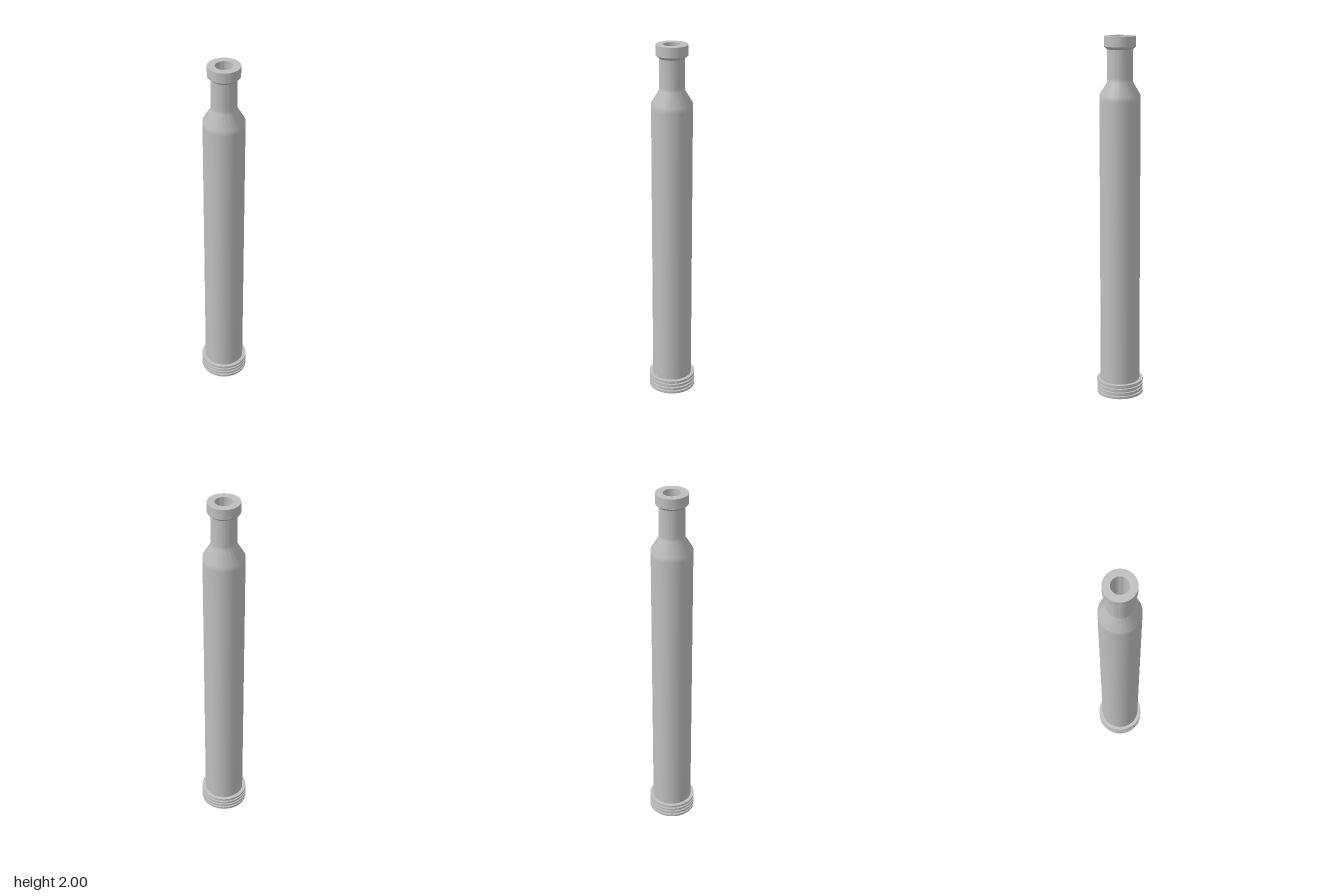
import * as THREE from 'three';
import { toCreasedNormals } from 'three/addons/utils/BufferGeometryUtils.js';

const steel = new THREE.MeshStandardMaterial({ color: 0xbfbfbf });
steel.name = 'grey steel';

// Turned part from [radius, height] pairs, with crisp machined edges
function turned(name, profile) {
  const points = profile.map(([r, y]) => new THREE.Vector2(r, y));
  const mesh = new THREE.Mesh(toCreasedNormals(new THREE.LatheGeometry(points, 64), 0.6), steel);
  mesh.name = name;
  return mesh;
}

export function createModel() {
  const group = new THREE.Group();
  group.name = 'turnedRod';

  // Foot flange: four thin rings separated by three shallow grooves
  const foot = [[0, 0], [0.13, 0]];
  for (const y of [0.013, 0.035, 0.057]) {
    foot.push([0.13, y], [0.118, y], [0.118, y + 0.01], [0.13, y + 0.01]);
  }
  foot.push([0.13, 0.08], [0.108, 0.08]);
  group.add(turned('groovedFoot', foot));

  // Long body, tapered shoulder and slim neck
  group.add(turned('body', [
    [0.11, 0.08], [0.11, 1.66], [0.11, 1.69],
    [0.068, 1.76], [0.068, 1.78], [0.068, 1.93],
  ]));

  // Chamfered collar with a round bore
  group.add(turned('collar', [
    [0.068, 1.93], [0.085, 1.945], [0.085, 2],
    [0.046, 2], [0.046, 1.7], [0, 1.7],
  ]));

  return group;
}
